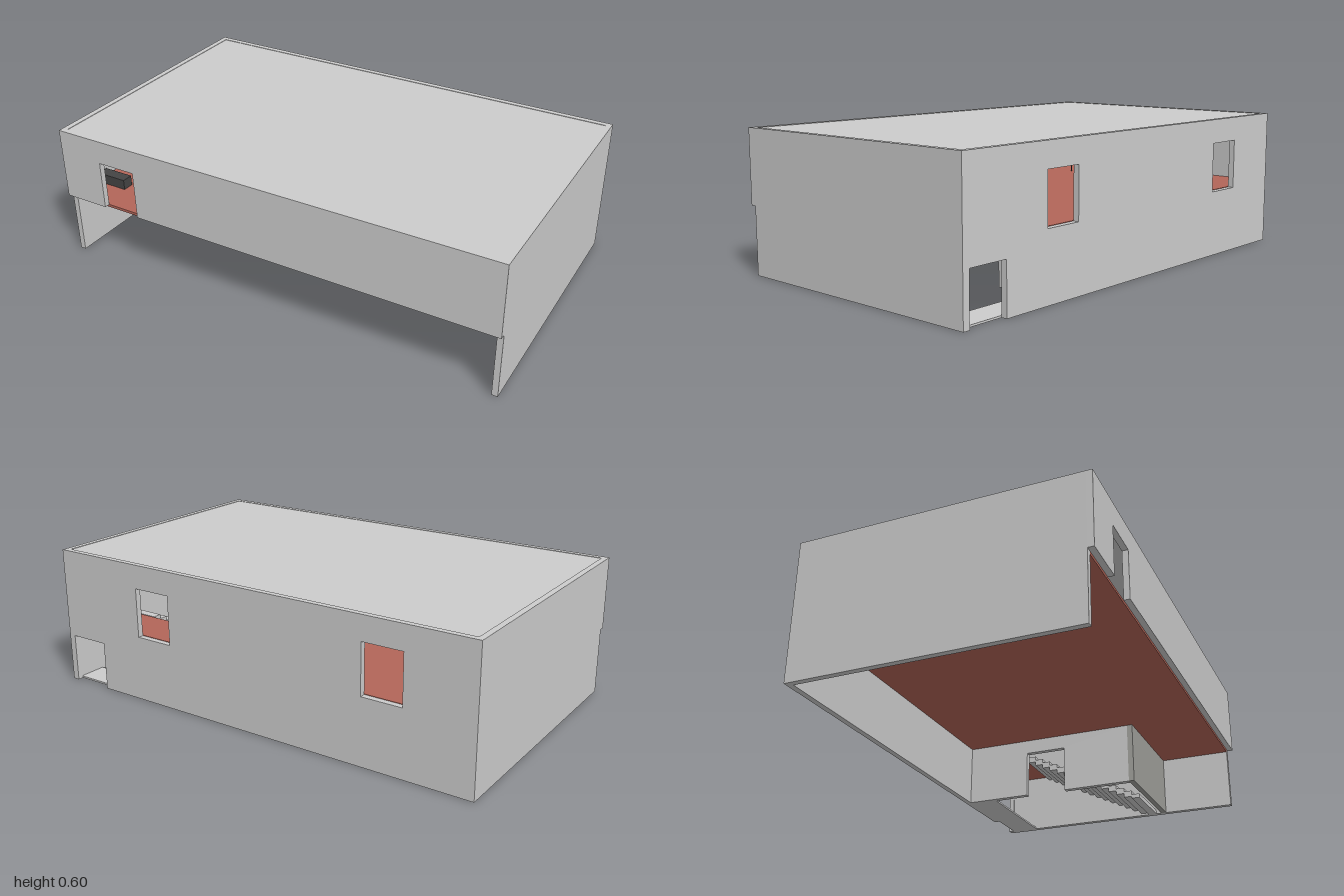
import * as THREE from 'three';

const grey = new THREE.MeshStandardMaterial({ color: 0xcccccc, flatShading: true });
const tinted = (color) => new THREE.MeshStandardMaterial({ color });
const red = tinted(0xb26558), dark = tinted(0x444444), panel = tinted(0xa0a09b), roofMat = tinted(0xc4c4c0);

const T = 0.025;       // wall thickness
const FLOOR = 0.286;   // upper floor level
const H = 0.6;

export function createModel() {
  const model = new THREE.Group();

  // box given by its min and max on every axis
  const box = (name, [x0, x1], [y0, y1], [z0, z1], mat = grey, parent = model) => {
    const m = new THREE.Mesh(new THREE.BoxGeometry(x1 - x0, y1 - y0, z1 - z0), mat);
    m.position.set((x0 + x1) / 2, (y0 + y1) / 2, (z0 + z1) / 2);
    m.name = name;
    parent.add(m);
    return m;
  };

  // wall drawn from an outline with rectangular openings, extruded by T along z
  const wall = (name, outline, openings = []) => {
    const shape = new THREE.Shape(outline.map(([x, y]) => new THREE.Vector2(x, y)));
    for (const [x0, x1, y0, y1] of openings) {
      shape.holes.push(new THREE.Path([[x0, y0], [x0, y1], [x1, y1], [x1, y0]]
        .map(([x, y]) => new THREE.Vector2(x, y))));
    }
    const m = new THREE.Mesh(new THREE.ExtrudeGeometry(shape, { depth: T, bevelEnabled: false }), grey);
    m.name = name;
    model.add(m);
    return m;
  };

  // front wall: upper storey only, with a window reaching down to the floor
  wall('frontWall', [[-1, FLOOR], [-0.795, FLOOR], [-0.795, 0.497], [-0.622, 0.497],
    [-0.622, FLOOR], [1, FLOOR], [1, H], [-1, H]]).position.z = 0.6 - T;

  // back wall: doorway at ground level and two windows above
  wall('backWall', [[-1, 0], [0.79, 0], [0.79, 0.21], [0.97, 0.21], [0.97, 0], [1, 0], [1, H], [-1, H]],
    [[-0.705, -0.53, 0.284, 0.497], [0.4, 0.575, 0.284, 0.497]]).position.z = -0.6;

  // side walls
  box('rightWall', [-1, -1 + T], [0, H], [-0.6 + T, 0.6 - T]);
  box('leftWall', [1 - T, 1], [0, H], [-0.6 + T, 0.6 - T]);

  // roof set between the walls
  box('roof', [-1 + T, 1 - T], [H - T, H - 0.002], [-0.6 + T, 0.6 - T], roofMat);

  // upper floor, left open above the stairs
  const fy = [FLOOR - 0.012, FLOOR];
  box('upperFloor', [-1 + T, 0.465], fy, [-0.6 + T, 0.6 - T], red);
  box('upperFloorFront', [0.465, 1 - T], fy, [0.25, 0.6 - T], red);
  box('upperFloorBack', [0.465, 1 - T], fy, [-0.6 + T, -0.38], red);

  // ground floor stair room
  box('stairRoomFront', [0.465, 1 - T], [0, fy[0]], [0.25 - T, 0.25], panel);
  const partition = wall('stairRoomPartition', [[-0.225, 0], [0.09, 0], [0.09, 0.21], [0.28, 0.21],
    [0.28, 0], [0.575, 0], [0.575, fy[0]], [-0.225, fy[0]]]);
  partition.rotation.y = Math.PI / 2;
  partition.position.x = 0.465;
  box('doorStrip', [0.465, 1 - T], [0, 0.008], [-0.6 + T, -0.45]);

  // stairs climbing towards the back
  const stairs = new THREE.Group();
  stairs.name = 'stairs';
  model.add(stairs);
  const steps = 15, run = 0.575 / steps, rise = fy[1] / steps;
  for (let i = 0; i < steps; i++) {
    const z = 0.2 - i * run;
    box('step', [0.7, 1 - T], [Math.max(0, (i - 0.5) * rise), (i + 1) * rise], [z - run, z], grey, stairs);
  }

  // row of desks with a stool each
  const furniture = new THREE.Group();
  furniture.name = 'furniture';
  model.add(furniture);
  for (let i = 0; i < 5; i++) {
    const z = -0.14 + i * 0.14;
    box('desk', [-0.96, -0.82], [FLOOR - 0.014, FLOOR + 0.045], [z - 0.025, z + 0.025], dark, furniture);
    const post = new THREE.Mesh(new THREE.CylinderGeometry(0.003, 0.003, 0.035, 8), dark);
    post.name = 'stoolPost';
    post.position.set(-0.64, FLOOR + 0.0175, z);
    const seat = new THREE.Mesh(new THREE.CylinderGeometry(0.016, 0.016, 0.006, 16), dark);
    seat.name = 'stoolSeat';
    seat.position.set(-0.64, FLOOR + 0.038, z);
    furniture.add(post, seat);
  }
  return model;
}
